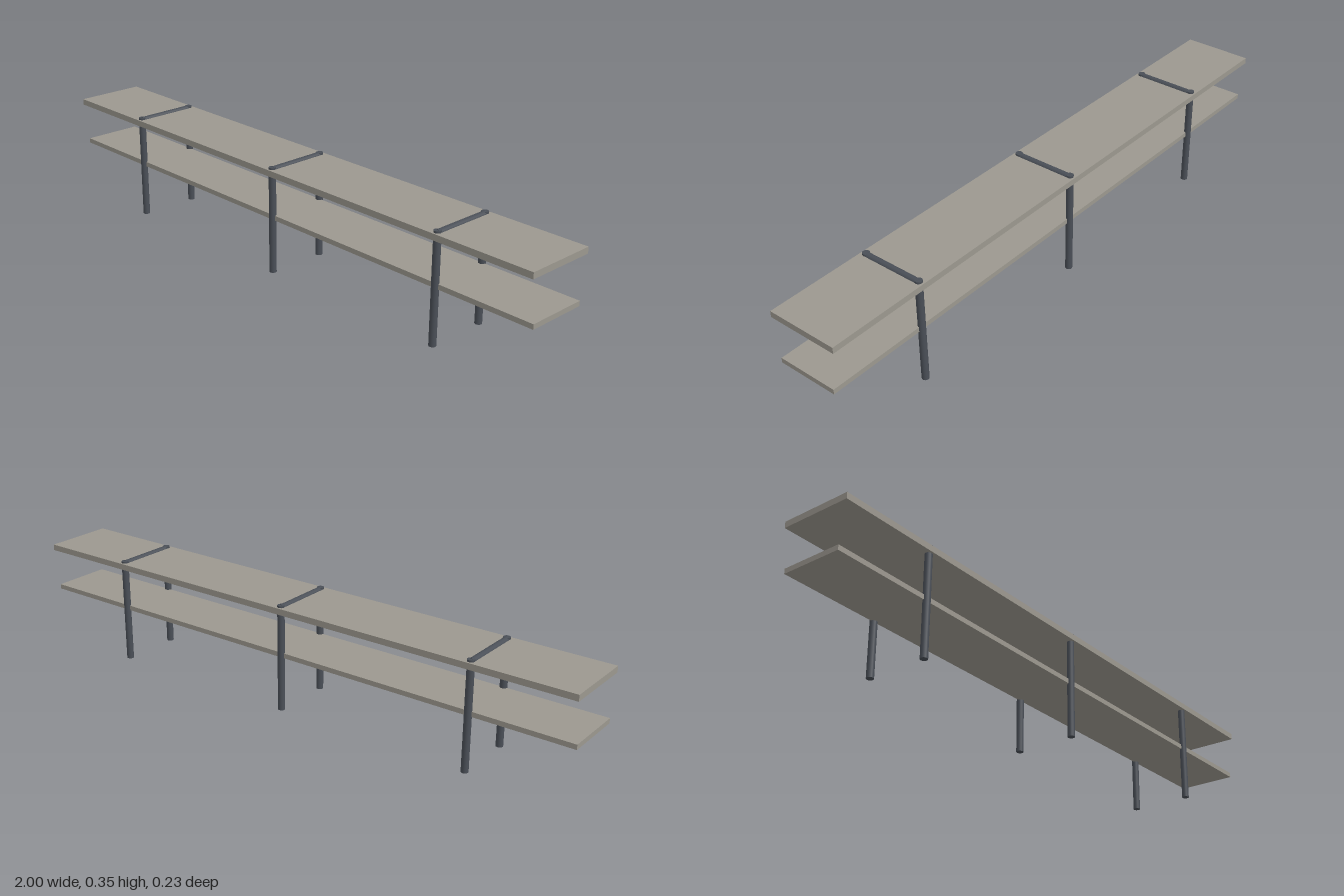
import * as THREE from 'three';

export function createModel() {
  const model = new THREE.Group();
  model.name = 'twoTierBench';
  const slab = new THREE.MeshStandardMaterial({ color: 0x9c988f });
  const metal = new THREE.MeshStandardMaterial({ color: 0x4a4f57 });

  const add = (name, geometry, material, x, y, z, parent = model) => {
    const mesh = new THREE.Mesh(geometry, material);
    mesh.name = name;
    mesh.position.set(x, y, z);
    parent.add(mesh);
    return mesh;
  };

  // Boards
  add('topBoard', new THREE.BoxGeometry(2, 0.02, 0.234), slab, 0, 0.335, 0);
  add('lowerShelf', new THREE.BoxGeometry(2, 0.016, 0.2), slab, 0, 0.185, 0);

  // Three frames: a pair of round legs joined by a bar across the top board
  const radius = 0.0115, legHeight = 0.351, legZ = 0.1;
  const legGeometry = new THREE.CylinderGeometry(radius, radius, legHeight, 16);
  const barGeometry = new THREE.CylinderGeometry(radius, radius, legZ * 2, 16).rotateX(Math.PI / 2);
  for (const x of [-0.667, 0, 0.667]) {
    const frame = new THREE.Group();
    frame.name = 'legFrame';
    frame.position.x = x;
    model.add(frame);
    add('frontLeg', legGeometry, metal, 0, legHeight / 2, legZ, frame);
    add('backLeg', legGeometry, metal, 0, legHeight / 2, -legZ, frame);
    add('crossBar', barGeometry, metal, 0, 0.341, 0, frame);
  }
  return model;
}
